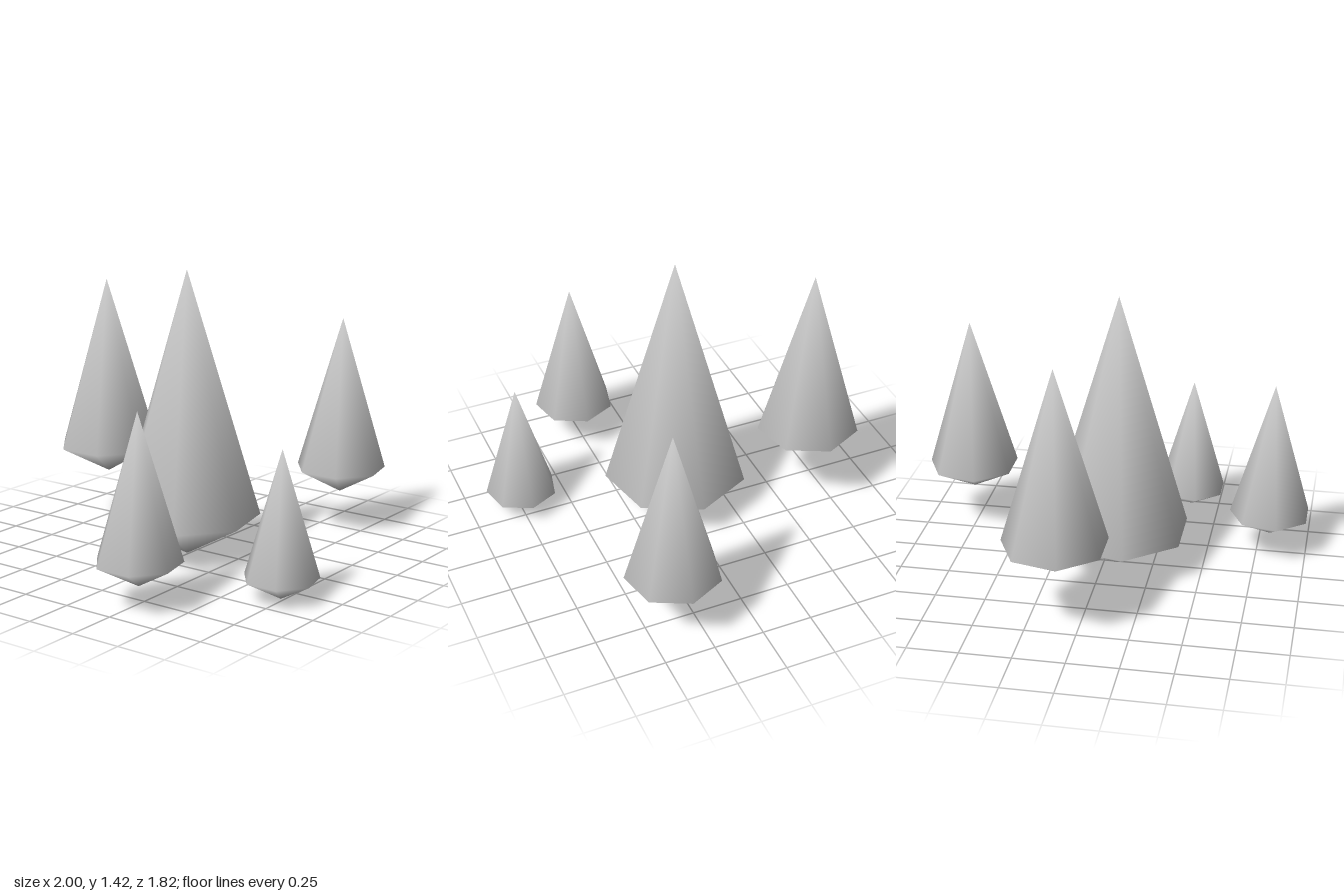
import * as THREE from 'three';

const SIDES = 7;

// Seven-sided bipyramid of unit rim radius with its lower tip at the origin.
// Shared corners give smooth normals across the facets.
function crystalGeometry() {
  const rimY = 0.55, topY = 3.92;
  const points = [0, topY, 0, 0, 0, 0];
  const faces = [];
  for (let i = 0; i < SIDES; i++) {
    const a = (i / SIDES) * Math.PI * 2;
    points.push(Math.cos(a), rimY, Math.sin(a));
    const here = 2 + i, next = 2 + ((i + 1) % SIDES);
    faces.push(0, next, here); // long upper spike
    faces.push(1, here, next); // short lower point
  }
  const geometry = new THREE.BufferGeometry();
  geometry.setAttribute('position', new THREE.Float32BufferAttribute(points, 3));
  geometry.setIndex(faces);
  geometry.computeVertexNormals();
  return geometry;
}

export function createModel() {
  const group = new THREE.Group();
  group.name = 'crystalCluster';

  const paleGrey = new THREE.MeshStandardMaterial({ color: 0xcccccc });
  paleGrey.name = 'paleGrey';

  // Name, rim radius, and position of the lower tip
  const crystals = [
    ['centreCrystal', 0.363, -0.073, 0, -0.01],
    ['backCrystal', 0.259, 0.113, 0.28, -0.662],
    ['leftCrystal', 0.2335, 0.764, 0.19, 0.36],
    ['rightCrystal', 0.207, -0.813, 0.095, 0.268],
    ['frontCrystal', 0.181, -0.352, 0, 0.732],
  ];

  const geometry = crystalGeometry();
  for (const [name, radius, x, y, z] of crystals) {
    const crystal = new THREE.Mesh(geometry, paleGrey);
    crystal.name = name;
    crystal.scale.setScalar(radius);
    crystal.position.set(x, y, z);
    group.add(crystal);
  }
  return group;
}
